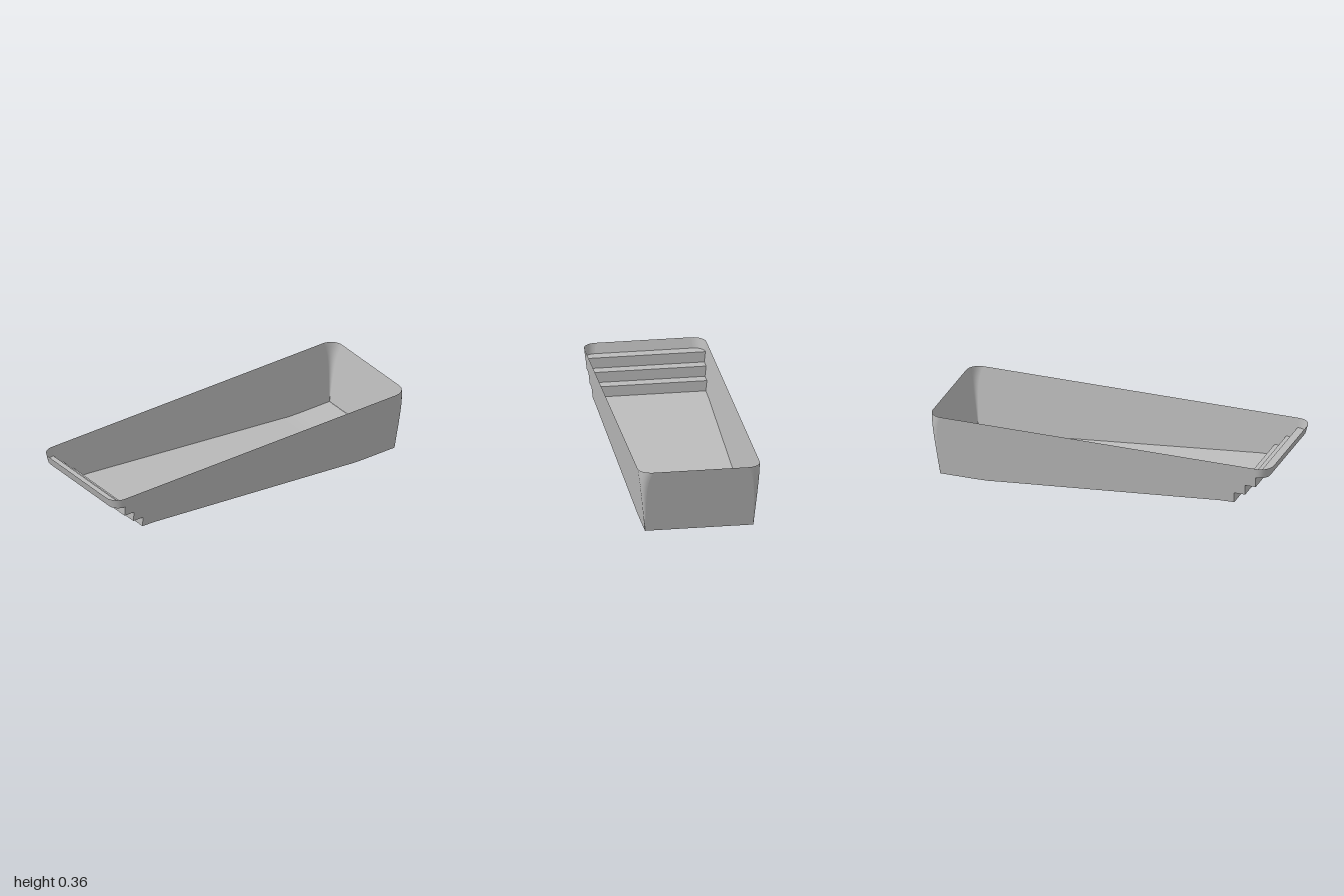
import * as THREE from 'three';

const TOP = 0.362, ARC = 8, ROWS = 12;

// Tapering plan of the basin at height y
const halfDepth = y => 0.302 + 0.038 * y / TOP;
const deepEndX = y => 0.942 + 0.058 * y / TOP;
const shallowEndX = y => -1 + 0.3 * (TOP - y);
const shallowRadius = y => 0.075 - 0.25 * (TOP - y);
const deepRadius = y => {
  const t = y / TOP;
  return 0.001 + 0.04 * t + 0.034 * Math.pow(t, 6);
};

// Floor line [x, y]: three steps, a shelf, the slope and the deep end
const STEPS = [[-0.917, 0.305], [-0.917, 0.245], [-0.853, 0.245], [-0.853, 0.185], [-0.787, 0.185], [-0.787, 0.125]];
const SLOPE = [[-0.787, 0.125], [-0.7, 0.122], [0.6, 0.008], [0.66, 0.002], [0.74, 0], [0.941, 0]];

// Surface through rows of points, each row the same length
function skin(rows, material, name) {
  const n = rows[0].length, index = [];
  for (let i = 0; i < rows.length - 1; i++) {
    for (let j = 0; j < n - 1; j++) {
      const a = i * n + j, b = a + n;
      index.push(a, a + 1, b, b, a + 1, b + 1);
    }
  }
  const geo = new THREE.BufferGeometry();
  geo.setAttribute('position', new THREE.Float32BufferAttribute(rows.flat(2), 3));
  geo.setIndex(index);
  geo.computeVertexNormals();
  const mesh = new THREE.Mesh(geo, material);
  mesh.name = name;
  return mesh;
}

// One wall column from its floor height up to the rim
function column(bottom, pointAt) {
  return Array.from({ length: ROWS + 1 }, (_, j) => {
    const y = bottom + (TOP - bottom) * j / ROWS;
    const [x, z] = pointAt(y);
    return [x, y, z];
  });
}

// Rounded corner column; angle 0 faces the end, 90 degrees faces the side
function corner(bottom, endX, radius, dir, side, a) {
  return column(bottom, y => {
    const r = radius(y);
    return [endX(y) - dir * r * (1 - Math.cos(a)), side * (halfDepth(y) - r * (1 - Math.sin(a)))];
  });
}

export function createModel() {
  const model = new THREE.Group();
  model.name = 'steppedPool';
  const shell = new THREE.MeshStandardMaterial({ color: 0xbcbcbc });
  shell.name = 'poolGrey';
  shell.side = THREE.DoubleSide;
  const angles = Array.from({ length: ARC + 1 }, (_, i) => i / ARC * Math.PI / 2);

  // Long walls with their rounded corners
  for (const side of [1, -1]) {
    const cols = [
      ...angles.map(a => corner(0.305, shallowEndX, shallowRadius, -1, side, a)),
      ...[...STEPS, ...SLOPE.slice(1, -1)].map(([x, y]) => column(y, h => [x, side * halfDepth(h)])),
      ...[...angles].reverse().map(a => corner(0, deepEndX, deepRadius, 1, side, a)),
    ];
    if (side > 0) cols.reverse();
    model.add(skin(cols, shell, side > 0 ? 'frontWall' : 'backWall'));
  }

  // End walls
  model.add(skin([-1, 1].map(s => corner(0, deepEndX, deepRadius, 1, s, 0)), shell, 'deepEndWall'));
  model.add(skin([1, -1].map(s => corner(0.305, shallowEndX, shallowRadius, -1, s, 0)), shell, 'shallowEndWall'));

  // Floor strips across the full width
  const across = ([x, y, h = halfDepth(y)]) => [[x, y, -h], [x, y, h]];
  const firstTread = angles.map(a => {
    const [x, y, z] = corner(0.305, shallowEndX, shallowRadius, -1, 1, a)[0];
    return [x, y, z];
  });
  model.add(skin([...firstTread, STEPS[0]].map(across), shell, 'topTread'));
  for (let i = 0; i < STEPS.length - 1; i++) {
    model.add(skin([STEPS[i], STEPS[i + 1]].map(across), shell, i % 2 ? 'tread' : 'riser'));
  }
  model.add(skin(SLOPE.map(across), shell, 'slopingFloor'));
  return model;
}
